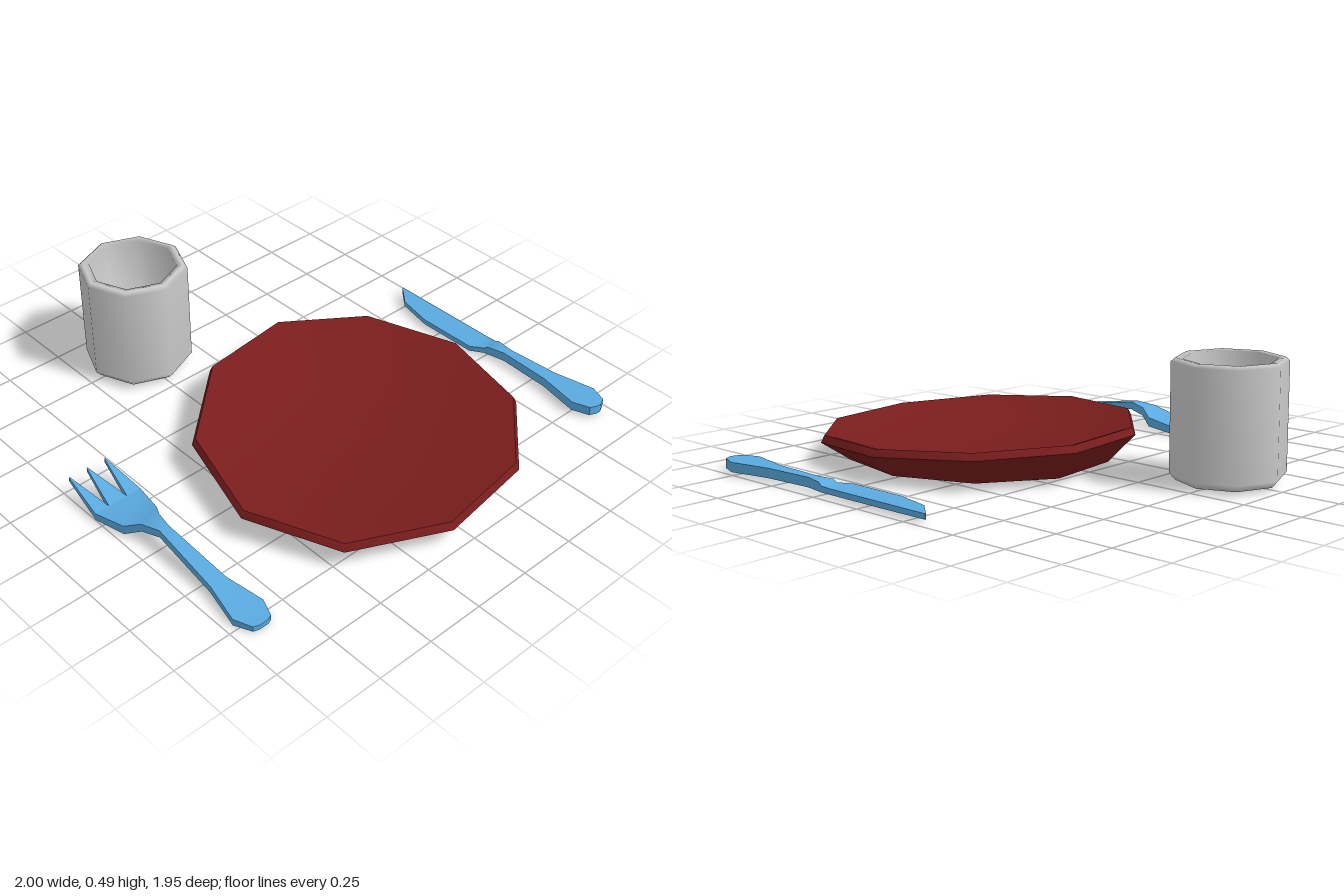
import * as THREE from 'three';
import { toCreasedNormals } from 'three/addons/utils/BufferGeometryUtils.js';

const red = new THREE.MeshStandardMaterial({ color: 0x7a1d1d });
const grey = new THREE.MeshStandardMaterial({ color: 0xcccccc });
const blue = new THREE.MeshStandardMaterial({ color: 0x5aaae0 });

function named(name, geometry, material) {
  const mesh = new THREE.Mesh(geometry, material);
  mesh.name = name;
  return mesh;
}

// Low-poly turned body from a [radius, y] profile
function turned(profile, sides) {
  return new THREE.LatheGeometry(profile.map(([r, y]) => new THREE.Vector2(r, y)), sides);
}

// Bar lofted along z through rectangles [z, xLeft, xRight, yBottom, yTop], z rising
function bar(sections) {
  const position = [];
  const index = [];
  for (const [z, x0, x1, y0, y1] of sections) {
    position.push(x0, y0, z, x1, y0, z, x1, y1, z, x0, y1, z);
  }
  for (let i = 0; i < sections.length - 1; i++) {
    for (let j = 0; j < 4; j++) {
      const a = i * 4 + j;
      const b = i * 4 + ((j + 1) % 4);
      index.push(a, b, b + 4, a, b + 4, a + 4);
    }
  }
  const e = (sections.length - 1) * 4;
  index.push(0, 2, 1, 0, 3, 2, e, e + 1, e + 2, e, e + 2, e + 3);
  const geometry = new THREE.BufferGeometry();
  geometry.setAttribute('position', new THREE.Float32BufferAttribute(position, 3));
  geometry.setIndex(index);
  return toCreasedNormals(geometry, 0.6);
}

// Hand-cut ten-sided plate: flat foot and well, rim rising towards the back
function createPlate() {
  const corners = [
    [-0.134, 0.671], [0.305, 0.61], [0.604, 0.332], [0.687, -0.075], [0.529, -0.465],
    [0.193, -0.687], [-0.225, -0.636], [-0.575, -0.326], [-0.695, 0.11], [-0.524, 0.489],
  ];
  // radii are fractions of the corner distance
  const profile = [
    [0, 0.03], [0.6, 0.03], [0.79, 0.013], [0.825, 0.013],
    [1, 0.108], [0.978, 0.138], [0.94, 0.132], [0.6, 0.055], [0, 0.055],
  ];
  const geometry = turned(profile, corners.length);
  const p = geometry.attributes.position;
  for (let i = 0; i < p.count; i++) {
    const [x, z] = corners[Math.floor(i / profile.length) % corners.length];
    const [f, y] = profile[i % profile.length];
    const tilt = y > 0.1 ? 0.044 : 0;
    p.setXYZ(i, x * f, y - tilt * z * f, z * f);
  }
  const plate = named('plate', toCreasedNormals(geometry, 0.7), red);
  plate.position.set(0.043, 0, 0.3);
  return plate;
}

// Eight-sided smooth cup with bevelled edges and a recessed underside
function createCup() {
  const geometry = turned([
    [0, 0.07], [0.18, 0.07], [0.185, 0.012], [0.205, 0.012], [0.23, 0.04],
    [0.23, 0.478], [0.213, 0.493], [0.185, 0.488], [0.18, 0.1], [0, 0.095],
  ], 8);
  const cup = named('cup', geometry, grey);
  cup.position.set(-0.24, 0, -0.753);
  return cup;
}

// Fork: arched neck, dipped head, three upturned tines
function createFork() {
  const fork = new THREE.Group();
  fork.name = 'fork';
  const body = [ // z, half width, bottom, top
    [-0.04, 0.108, 0.003, 0.036],
    [0.1, 0.08, 0.01, 0.05],
    [0.165, 0.043, 0.045, 0.082],
    [0.25, 0.022, 0.06, 0.095],
    [0.56, 0.037, 0.015, 0.047],
    [0.725, 0.072, 0, 0.03],
    [0.8, 0.043, 0.006, 0.03],
    [0.81, 0.02, 0.008, 0.03],
  ].map(([z, w, y0, y1]) => [z, -w, w, y0, y1]);
  fork.add(named('forkBody', bar(body), blue));
  for (const [x0, x1, tip] of [[-0.108, -0.043, -0.085], [-0.043, 0.043, 0], [0.043, 0.108, 0.085]]) {
    const tine = bar([
      [-0.235, tip - 0.002, tip + 0.002, 0.06, 0.08],
      [-0.04, x0, x1, 0.003, 0.036],
    ]);
    fork.add(named('forkTine', tine, blue));
  }
  fork.position.x = -0.892;
  return fork;
}

// Knife: thin blade with a straight spine, stepping up to a waisted handle
function createKnife() {
  return named('knife', bar([
    [-0.327, 0.961, 0.965, 0.014, 0.036],
    [-0.24, 0.888, 0.965, 0.014, 0.036],
    [-0.08, 0.853, 0.965, 0.013, 0.036],
    [0.19, 0.853, 0.965, 0.013, 0.036],
    [0.243, 0.888, 0.965, 0.013, 0.038],
    [0.26, 0.892, 0.962, 0.013, 0.05],
    [0.34, 0.909, 0.949, 0.013, 0.053],
    [0.575, 0.898, 0.963, 0.013, 0.053],
    [0.757, 0.861, 1, 0.013, 0.053],
    [0.83, 0.888, 0.973, 0.013, 0.053],
    [0.845, 0.92, 0.941, 0.013, 0.053],
  ]), blue);
}

export function createModel() {
  const model = new THREE.Group();
  model.name = 'placeSetting';
  model.add(createPlate(), createCup(), createFork(), createKnife());
  return model;
}
